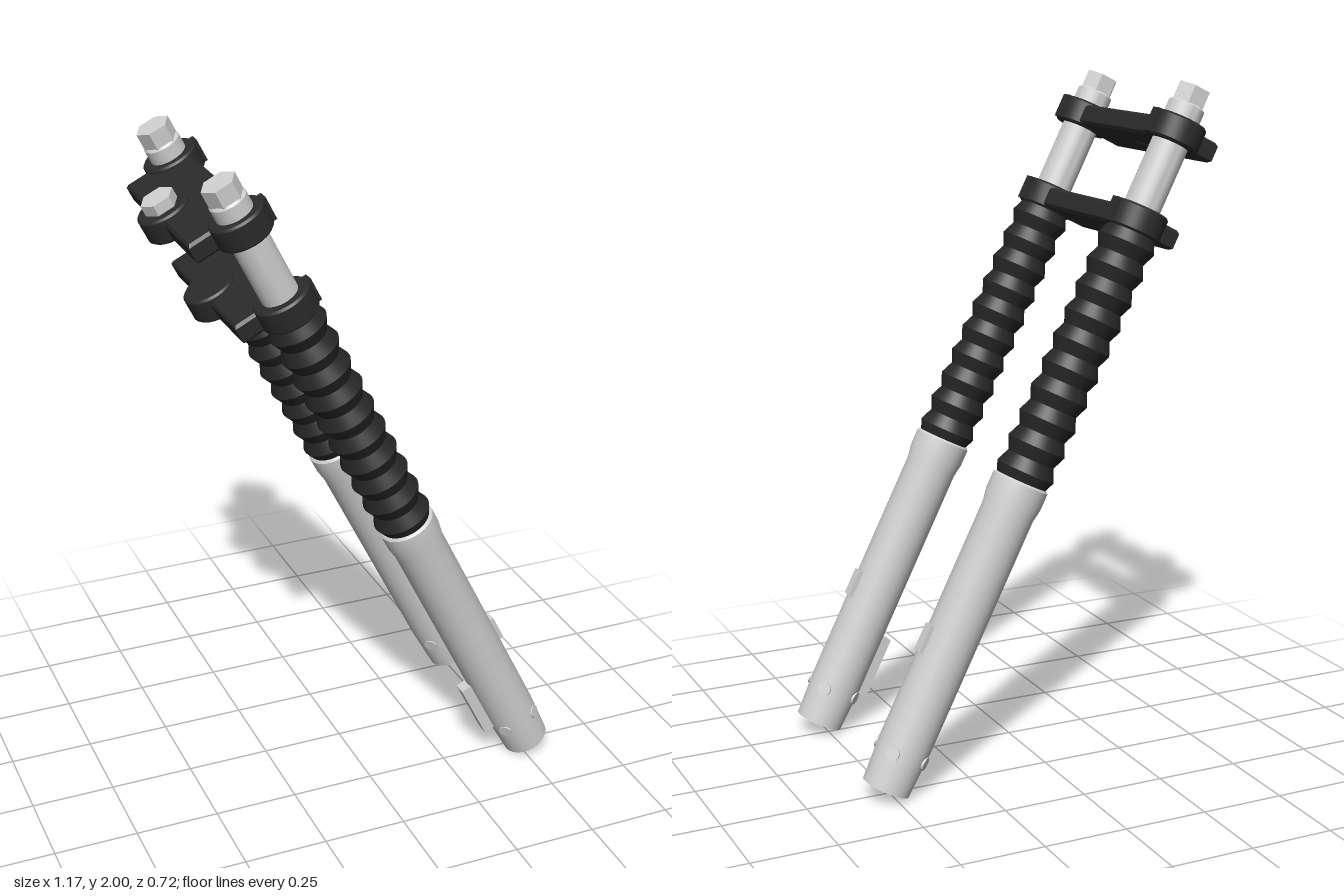
import * as THREE from 'three';
import { toCreasedNormals } from 'three/addons/utils/BufferGeometryUtils.js';

export function createModel() {
  const silver = new THREE.MeshStandardMaterial({ name: 'silver metal', color: 0xd0d0d0 });
  const rubber = new THREE.MeshStandardMaterial({ name: 'black rubber', color: 0x272727 });
  const clampBlack = new THREE.MeshStandardMaterial({ name: 'black clamp', color: 0x2b2b2b });

  const model = new THREE.Group();
  model.name = 'suspensionFork';
  // Everything is built upright along y, then leaned back
  const fork = new THREE.Group();
  fork.name = 'leaningFork';
  fork.position.set(0.52, 0.035, 0);
  fork.rotation.z = Math.atan(0.5);
  model.add(fork);

  function add(parent, name, geometry, material, x = 0, y = 0, z = 0) {
    const mesh = new THREE.Mesh(geometry, material);
    mesh.name = name;
    mesh.position.set(x, y, z);
    parent.add(mesh);
    return mesh;
  }
  const lathe = (points) => toCreasedNormals(
    new THREE.LatheGeometry(points.map(([r, y]) => new THREE.Vector2(r, y)), 40), 0.4);
  // Cylinder spanning y0 to y1, with an optional chamfered rim
  const disc = (r, y0, y1, c = 0.006) => lathe(
    [[0, y0], [r - c, y0], [r, y0 + c], [r, y1 - c], [r - c, y1], [0, y1]]);
  // Hexagon with its points along x
  function hex(r, y0, y1) {
    const g = new THREE.CylinderGeometry(r, r, y1 - y0, 6).toNonIndexed();
    g.rotateY(Math.PI / 2).translate(0, (y0 + y1) / 2, 0);
    g.computeVertexNormals();
    return g;
  }

  // Bellows profile
  const bellows = [];
  const folds = 10, bootBottom = 0.945, bootTop = 1.73;
  for (let i = 0; i <= folds * 2; i++) {
    bellows.push([i % 2 ? 0.087 : 0.07, bootBottom + (bootTop - bootBottom) * i / (folds * 2)]);
  }

  for (const side of [1, -1]) {
    const leg = new THREE.Group();
    leg.name = side > 0 ? 'frontLeg' : 'backLeg';
    leg.position.z = 0.275 * side;
    fork.add(leg);

    add(leg, 'lowerTube', lathe([[0, 0], [0.071, 0], [0.0775, 0.14], [0.0775, 0.86],
      [0.084, 0.9], [0.084, 0.95], [0.078, 0.956], [0, 0.956]]), silver);
    add(leg, 'rubberBoot', lathe(bellows), rubber);
    add(leg, 'upperTube', disc(0.054, 1.7, 2.12), silver);
    add(leg, 'capNut', hex(0.052, 2.11, 2.17), silver);
    add(leg, 'reflectorMount', new THREE.BoxGeometry(0.03, 0.082, 0.036), silver, 0.073, 0.44);

    // Four axle pinch screws around the foot
    for (let i = 0; i < 4; i++) {
      const a = Math.PI / 4 + i * Math.PI / 2;
      const g = new THREE.CylinderGeometry(0.02, 0.02, 0.02, 20);
      g.rotateZ(-Math.PI / 2).translate(0.07, 0, 0).rotateY(a);
      add(leg, 'pinchScrew', g, silver, 0, 0.11, 0);
    }
    if (side > 0) {
      add(leg, 'brakeBracket', new THREE.BoxGeometry(0.05, 0.19, 0.04), silver, -0.082, 0.216);
    }
  }

  // Two bridges holding the legs together
  function clamp(name, y0, y1, ringRadius) {
    const g = new THREE.Group();
    g.name = name;
    fork.add(g);
    const plate = new THREE.Shape();
    plate.moveTo(-0.142, -0.265).lineTo(0.038, -0.265).lineTo(0.038, 0.265).lineTo(-0.142, 0.265);
    const bridge = new THREE.ExtrudeGeometry(plate, {
      depth: y1 - y0 - 0.03, bevelEnabled: true, bevelSize: 0.008, bevelThickness: 0.008, bevelSegments: 1,
    });
    bridge.rotateX(-Math.PI / 2).translate(0, y0 + 0.012, 0);
    add(g, 'bridgePlate', bridge, clampBlack);
    add(g, 'stemBoss', disc(0.077, y0, y1), clampBlack, -0.123);
    for (const side of [1, -1]) {
      add(g, 'legRing', disc(ringRadius, y0, y1), clampBlack, 0, 0, 0.275 * side);
      add(g, 'ringLug', new THREE.BoxGeometry(0.03, y1 - y0 - 0.004, 0.036), clampBlack,
        ringRadius - 0.008, (y0 + y1) / 2, 0.275 * side);
    }
  }
  clamp('upperClamp', 1.998, 2.073, 0.081);
  clamp('lowerClamp', 1.725, 1.8, 0.084);
  add(fork, 'stemNut', hex(0.05, 2.065, 2.105), silver, -0.123);

  return model;
}
